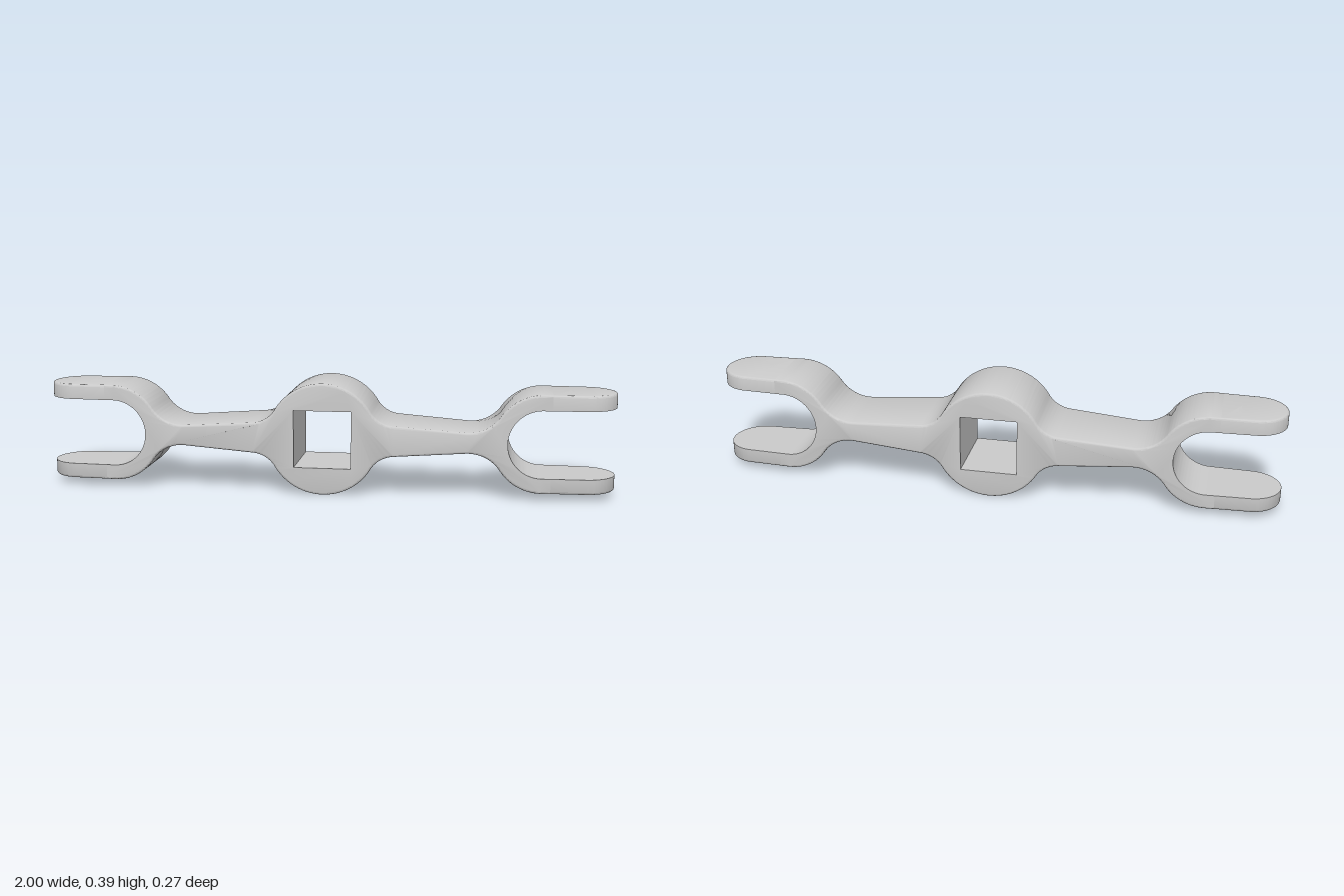
import * as THREE from 'three';
import { toCreasedNormals } from 'three/addons/utils/BufferGeometryUtils.js';

const CY = 0.197;                       // height of the long axis
const HUB_R = 0.195, BORE = 0.1;        // hub radius, half side of square bore
const FORK_X = 0.75, IN = 0.117, OUT = 0.17; // fork centre, inner and outer radius
const JOIN = 0.78;                      // where prong tips meet the body
const EYE_X = 0.893, EYE_R = 0.05, TIP_R = 0.107;
const HALF_W = 0.133, BEVEL = 0.008;

// half width along the beam: straight in the middle, tapering to the ends
const halfWidth = (x) => HALF_W - 0.04 * Math.max(0, Math.abs(x) - 0.245);

function extrude(shape, depth) {
  return new THREE.ExtrudeGeometry(shape, {
    depth, bevelEnabled: true, bevelSize: BEVEL, bevelThickness: BEVEL,
    bevelOffset: -BEVEL, bevelSegments: 3, curveSegments: 32,
  });
}

// move every vertex by a rule
function reshape(geometry, rule) {
  const p = geometry.attributes.position;
  const v = new THREE.Vector3();
  for (let i = 0; i < p.count; i++) {
    v.fromBufferAttribute(p, i);
    rule(v);
    p.setXYZ(i, v.x, v.y, v.z);
  }
  return toCreasedNormals(geometry, 0.6);
}

// upper right quarter of the side outline, from hub top to fork root
function quarterOutline() {
  const a = Math.atan2(0.153, 0.252), b = Math.atan2(0.166, 0.25), tilt = 0.07;
  const path = new THREE.Path();
  path.absarc(0, 0, HUB_R, Math.PI / 2, a, true);
  path.absarc(0.252, 0.153, 0.1, Math.PI + a, 1.5 * Math.PI - tilt, false);
  path.absarc(0.5, 0.166, 0.13, 1.5 * Math.PI - tilt, 2 * Math.PI - b, false);
  path.absarc(FORK_X, 0, OUT, Math.PI - b, Math.PI / 2, true);
  path.lineTo(JOIN, OUT);
  path.lineTo(JOIN, IN);
  path.lineTo(FORK_X, IN);
  path.absarc(FORK_X, 0, IN, Math.PI / 2, Math.PI, false);
  const points = [];
  for (const p of path.getPoints(20)) {
    if (!points.length || p.distanceTo(points[points.length - 1]) > 0.003) points.push(p);
  }
  return points;
}

function bodyGeometry() {
  const quarter = quarterOutline();
  const lower = quarter.map((p) => new THREE.Vector2(p.x, -p.y)).reverse();
  const right = [...quarter, ...lower.slice(1)];
  const left = right.map((p) => new THREE.Vector2(-p.x, -p.y));
  const shape = new THREE.Shape([...right.slice(1), ...left.slice(1)]);
  const bore = [[-1, -1], [1, -1], [1, 1], [-1, 1]];
  shape.holes.push(new THREE.Path(bore.map(([x, y]) => new THREE.Vector2(x * BORE, y * BORE))));

  const geometry = extrude(shape, 2 * (HALF_W - BEVEL));
  geometry.translate(0, 0, BEVEL - HALF_W);
  return reshape(geometry, (v) => {
    const sx = Math.sign(v.x), ax = Math.abs(v.x);
    if (ax < 0.13 && Math.abs(v.y) < 0.13) {
      // square bore keeps sharp edges
      v.x = sx * BORE;
      v.y = Math.sign(v.y) * BORE;
    } else if (ax > 0.5) {
      // fork throat and joint faces keep sharp edges
      const dx = ax - FORK_X, d = Math.hypot(dx, v.y);
      if (dx <= 0.001 && d < IN + 0.02) {
        v.x = sx * (FORK_X + dx * IN / d);
        v.y *= IN / d;
      } else if (dx > 0.001 && Math.abs(v.y) < IN + 0.02) {
        v.y = Math.sign(v.y) * IN;
      }
      if (ax > JOIN - 0.012) v.x = sx * JOIN;
    }
    v.z *= halfWidth(v.x) / HALF_W;
  });
}

// rounded prong end with a vertical eye, relative to the beam axis
function prongGeometry() {
  const w = halfWidth(JOIN);
  const shape = new THREE.Shape();
  shape.moveTo(JOIN, -w);
  shape.lineTo(EYE_X, -TIP_R);
  shape.absarc(EYE_X, 0, TIP_R, -Math.PI / 2, Math.PI / 2, false);
  shape.lineTo(JOIN, w);
  const eye = new THREE.Path();
  eye.absarc(EYE_X, 0, EYE_R, 0, 2 * Math.PI, true);
  shape.holes.push(eye);

  const geometry = extrude(shape, OUT - IN - BEVEL);
  geometry.rotateX(-Math.PI / 2).translate(0, IN, 0);
  return reshape(geometry, (v) => {
    v.y = Math.max(v.y, IN);                    // flat inner face
    if (v.x < JOIN + 0.012) v.x = JOIN;         // flush joint
    const dx = v.x - EYE_X, d = Math.hypot(dx, v.z);
    if (d < EYE_R + 0.02) {                     // straight eye wall
      v.x = EYE_X + dx * EYE_R / d;
      v.z *= EYE_R / d;
    }
  });
}

export function createModel() {
  const model = new THREE.Group();
  model.name = 'doubleForkLink';
  const material = new THREE.MeshStandardMaterial({ color: 0xcccccc });

  // hub, arms and fork roots
  const body = new THREE.Mesh(bodyGeometry(), material);
  body.name = 'hubAndArms';
  body.position.y = CY;
  model.add(body);

  // four prong ends
  const prong = prongGeometry();
  for (const [side, turn] of [['left', 0], ['right', Math.PI]]) {
    for (const [level, flip] of [['Upper', 0], ['Lower', Math.PI]]) {
      const mesh = new THREE.Mesh(prong, material);
      mesh.name = `${side}${level}Prong`;
      mesh.rotation.set(flip, turn, 0);
      mesh.position.y = CY;
      model.add(mesh);
    }
  }
  return model;
}
